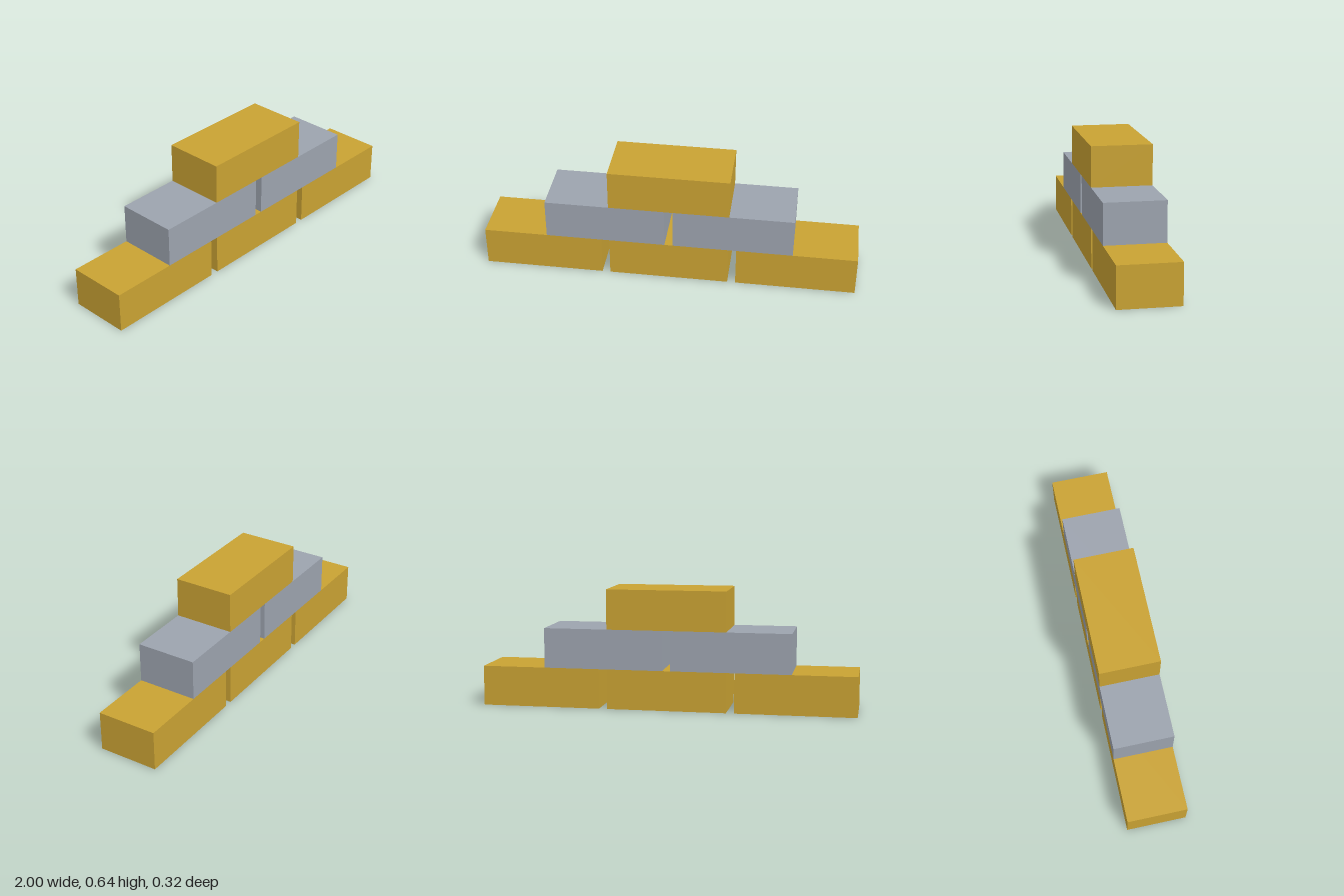
import * as THREE from 'three';

// Ingot size and the horizontal spacing between neighbours in a row
const WIDTH = 0.638, HEIGHT = 0.213, DEPTH = 0.319, PITCH = 0.681;

export function createModel() {
  const gold = new THREE.MeshStandardMaterial({ color: 0xc9a233 });
  gold.name = 'gold';
  const silver = new THREE.MeshStandardMaterial({ color: 0x9ca3ae });
  silver.name = 'silver';

  const barGeometry = new THREE.BoxGeometry(WIDTH, HEIGHT, DEPTH);
  const model = new THREE.Group();
  model.name = 'barStack';

  // Rows from the ground up, each one bar shorter than the row below
  const rows = [
    { name: 'bottomRow', count: 3, material: gold },
    { name: 'middleRow', count: 2, material: silver },
    { name: 'topRow', count: 1, material: gold },
  ];
  rows.forEach(({ name, count, material }, level) => {
    const row = new THREE.Group();
    row.name = name;
    row.position.y = (level + 0.5) * HEIGHT;
    for (let i = 0; i < count; i++) {
      const bar = new THREE.Mesh(barGeometry, material);
      bar.name = `${material.name}Bar${i + 1}`;
      bar.position.x = (i - (count - 1) / 2) * PITCH;
      row.add(bar);
    }
    model.add(row);
  });
  return model;
}
